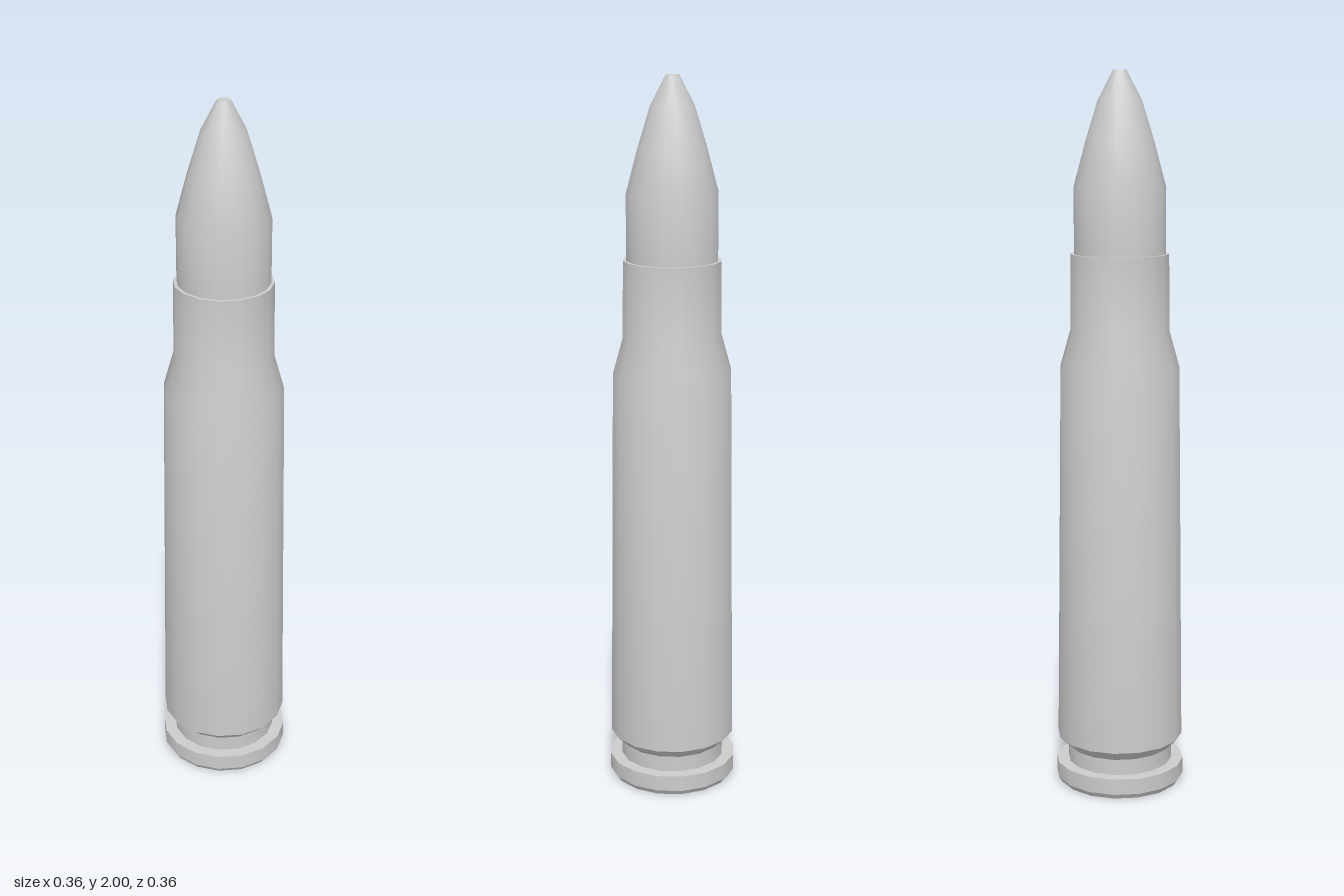
import * as THREE from 'three';
import { toCreasedNormals } from 'three/addons/utils/BufferGeometryUtils.js';

const SIDES = 16;

// Turned part from [radius, height] pairs, listed bottom to top
function turned(name, profile) {
  const points = profile.map(([r, y]) => new THREE.Vector2(r, y));
  const geometry = toCreasedNormals(new THREE.LatheGeometry(points, SIDES), Math.PI / 6);
  const mesh = new THREE.Mesh(geometry, new THREE.MeshStandardMaterial({ color: 0xcccccc }));
  mesh.name = name;
  return mesh;
}

export function createModel() {
  const group = new THREE.Group();
  group.name = 'cartridge';

  // Case: chamfered rim, extractor groove, tapered body, shoulder, neck and mouth
  group.add(turned('case', [
    [0, 0], [0.172, 0], [0.182, 0.015], [0.182, 0.06],
    [0.148, 0.06], [0.148, 0.105], [0.178, 0.135],
    [0.165, 1.2], [0.137, 1.3], [0.135, 1.51], [0.126, 1.51],
  ]));

  // Bullet: straight shank, tapered nose and small flat tip
  group.add(turned('bullet', [
    [0.126, 1.5], [0.126, 1.69], [0.094, 1.81], [0.06, 1.92],
    [0.018, 2], [0, 2],
  ]));

  return group;
}
